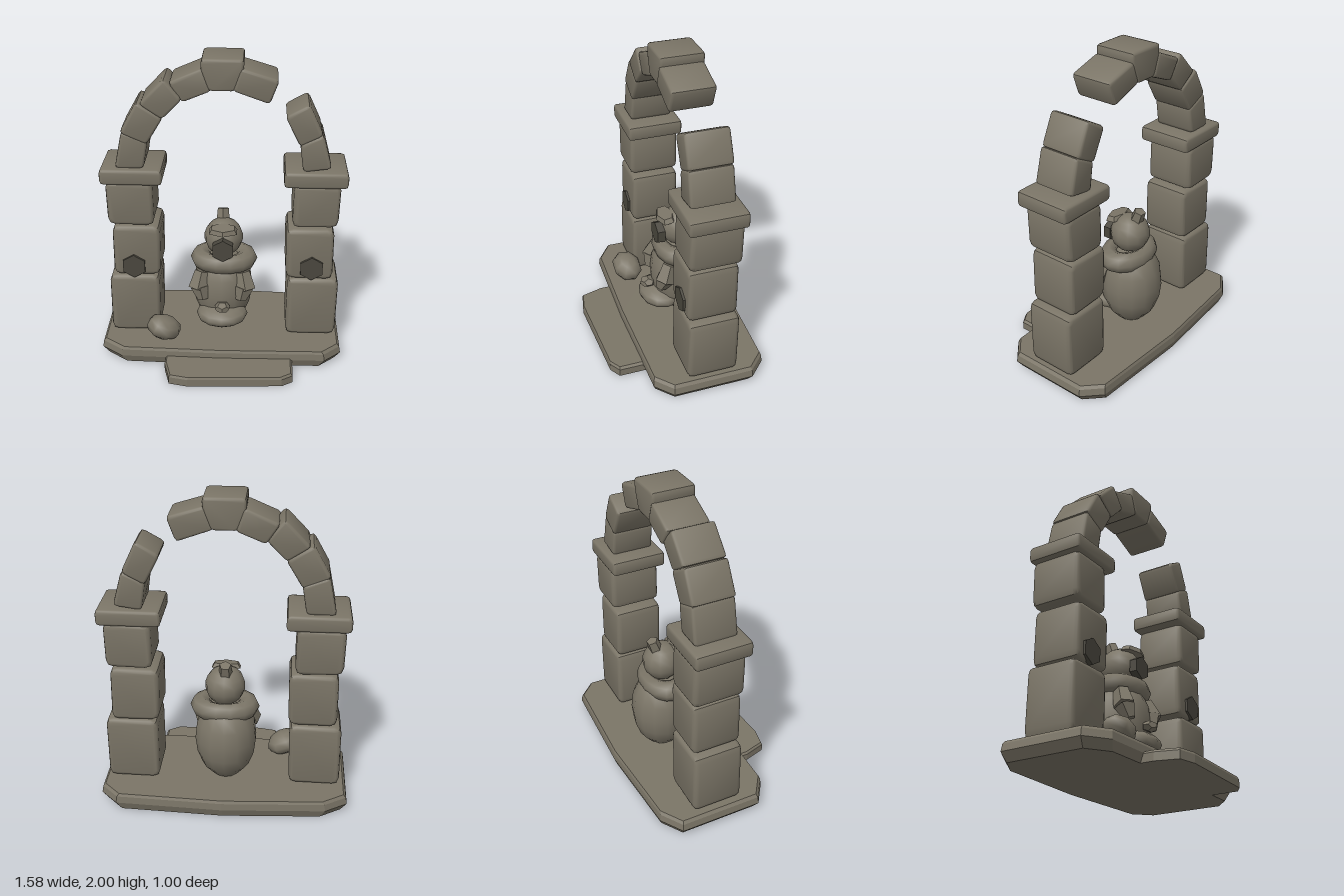
import * as THREE from 'three';
import { toCreasedNormals } from 'three/addons/utils/BufferGeometryUtils.js';

const stone = new THREE.MeshStandardMaterial({ color: 0x7b7567 });
stone.name = 'stone';
const darkStone = new THREE.MeshStandardMaterial({ color: 0x4a473e });
darkStone.name = 'dark stone';

function add(parent, name, geometry, material = stone, position = [0, 0, 0], scale = [1, 1, 1]) {
  const mesh = new THREE.Mesh(geometry, material);
  mesh.name = name;
  mesh.position.set(...position);
  mesh.scale.set(...scale);
  parent.add(mesh);
  return mesh;
}

// Worn block: a front outline with softened corners, bevelled, running from z0 to z1
function block(corners, z0, z1, bevel, round) {
  const points = corners.map(([x, y]) => new THREE.Vector2(x, y));
  const toward = (a, b) => a.clone().add(b.clone().sub(a).setLength(round));
  const shape = new THREE.Shape();
  points.forEach((p, i) => {
    const before = toward(p, points[(i + points.length - 1) % points.length]);
    const after = toward(p, points[(i + 1) % points.length]);
    if (i === 0) shape.moveTo(before.x, before.y);
    else shape.lineTo(before.x, before.y);
    shape.quadraticCurveTo(p.x, p.y, after.x, after.y);
  });
  const geometry = new THREE.ExtrudeGeometry(shape, {
    depth: z1 - z0 - 2 * bevel, bevelEnabled: true, bevelThickness: bevel,
    bevelSize: bevel * 0.8, bevelOffset: -bevel * 0.8, bevelSegments: 2, curveSegments: 2,
  });
  return toCreasedNormals(geometry.translate(0, 0, z0 + bevel), 0.85);
}

// Slab: a ground outline lofted through rings of [y, scale], closed top and bottom
function slab(outline, rings, centreZ) {
  const n = outline.length, points = [], index = [];
  for (const [y, s] of rings) {
    for (const [x, z] of outline) points.push(x * s, y, centreZ + (z - centreZ) * s);
  }
  for (let r = 0; r < rings.length - 1; r++) {
    for (let i = 0; i < n; i++) {
      const a = r * n + i, b = r * n + (i + 1) % n;
      index.push(a, b, a + n, b, b + n, a + n);
    }
  }
  const top = (rings.length - 1) * n;
  for (let i = 1; i < n - 1; i++) {
    index.push(0, i + 1, i, top, top + i, top + i + 1);
  }
  const geometry = new THREE.BufferGeometry();
  geometry.setAttribute('position', new THREE.Float32BufferAttribute(points, 3));
  geometry.setIndex(index);
  return flat(geometry);
}

function flat(geometry) {
  const result = geometry.index ? geometry.toNonIndexed() : geometry;
  result.computeVertexNormals();
  return result;
}

function makeGround(group) {
  const outline = [[-0.79, -0.37], [-0.79, 0.16], [-0.65, 0.26], [0, 0.275], [0.68, 0.26],
    [0.79, 0.16], [0.79, -0.36], [0.68, -0.47], [0, -0.5], [-0.65, -0.46]];
  add(group, 'base', slab(outline, [[0, 0.95], [0.055, 1], [0.1, 0.99], [0.118, 0.97]], -0.11));
  const step = [[-0.36, 0.22], [-0.36, 0.33], [-0.32, 0.47], [-0.2, 0.495], [0.4, 0.465],
    [0.47, 0.42], [0.47, 0.22]];
  add(group, 'frontStep', slab(step, [[0, 1], [0.05, 1], [0.065, 0.97]], 0.3));
  const rock = add(group, 'looseRock', new THREE.SphereGeometry(1, 8, 6), stone,
    [-0.38, 0.195, 0.12], [0.12, 0.078, 0.1]);
  rock.rotation.set(0.1, 0.3, -0.4);
}

function makePillars(group) {
  // Each block: x0, x1, y0, y1, z0, z1, and how far its top leans
  const pillars = {
    right: [[-0.74, -0.413, 0.12, 0.545, -0.265, 0.055, 0.004], [-0.705, -0.4, 0.55, 0.905, -0.26, 0.052, 0.003],
      [-0.725, -0.43, 0.918, 1.22, -0.27, 0.055, -0.006], [-0.76, -0.37, 1.205, 1.305, -0.28, 0.08, 0]],
    left: [[0.425, 0.757, 0.12, 0.545, -0.265, 0.055, 0.003], [0.415, 0.72, 0.55, 0.905, -0.26, 0.052, -0.005],
      [0.445, 0.735, 0.918, 1.22, -0.27, 0.055, 0.006], [0.385, 0.78, 1.205, 1.305, -0.28, 0.08, 0]],
  };
  for (const [side, blocks] of Object.entries(pillars)) {
    const pillar = new THREE.Group();
    pillar.name = side + 'Pillar';
    blocks.forEach(([x0, x1, y0, y1, z0, z1, lean], i) => {
      const corners = [[x0, y0], [x1, y0 + lean], [x1 + lean, y1], [x0 + lean, y1 - Math.abs(lean)]];
      const capital = i === 3;
      add(pillar, capital ? 'capital' : 'pillarBlock',
        block(corners, z0, z1, capital ? 0.018 : 0.028, capital ? 0.026 : 0.045));
    });
    // Hexagonal boss on the pillar front
    const boss = new THREE.CylinderGeometry(0.082, 0.082, 0.03, 6).rotateX(Math.PI / 2);
    add(pillar, 'hexBoss', flat(boss), darkStone, [side === 'left' ? 0.58 : -0.57, side === 'left' ? 0.632 : 0.622, 0.052]);
    group.add(pillar);
  }
}

function makeArch(group) {
  const arch = new THREE.Group();
  arch.name = 'brokenArch';
  const stones = [
    [[-0.665, 1.3], [-0.485, 1.3], [-0.455, 1.485], [-0.615, 1.54]],
    [[-0.625, 1.535], [-0.46, 1.46], [-0.355, 1.635], [-0.515, 1.73]],
    [[-0.5, 1.72], [-0.36, 1.625], [-0.235, 1.755], [-0.345, 1.88]],
    [[-0.32, 1.855], [-0.24, 1.73], [-0.06, 1.805], [-0.11, 1.945]],
    [[-0.08, 1.805], [0.08, 1.805], [0.128, 1.93], [0.132, 2], [-0.125, 2], [-0.125, 1.93]],
    [[0.06, 1.81], [0.285, 1.73], [0.34, 1.88], [0.11, 1.95]],
    [[0.38, 1.65], [0.475, 1.46], [0.615, 1.535], [0.523, 1.73]],
    [[0.475, 1.475], [0.5, 1.295], [0.675, 1.32], [0.615, 1.54]],
  ];
  stones.forEach((corners, i) => {
    const shift = (i % 3 - 1) * 0.004;
    add(arch, i === 4 ? 'keystone' : 'archStone', block(corners, -0.235 + shift, 0.037 + shift, 0.018, 0.025));
  });
  group.add(arch);
}

function makeStatue(group) {
  const statue = new THREE.Group();
  statue.name = 'seatedStatue';
  const profile = [[0, 0.12], [0.09, 0.125], [0.155, 0.2], [0.188, 0.29], [0.2, 0.39], [0.188, 0.5],
    [0.15, 0.58], [0.1, 0.63], [0, 0.65]].map(([r, y]) => new THREE.Vector2(r, y));
  add(statue, 'body', new THREE.LatheGeometry(profile, 14), stone, [0, 0, -0.14]);
  add(statue, 'collar', new THREE.TorusGeometry(0.152, 0.07, 8, 14).rotateX(Math.PI / 2), stone,
    [0.008, 0.605, -0.12], [1, 0.95, 0.74]);
  add(statue, 'head', new THREE.SphereGeometry(0.128, 12, 9), stone, [0.005, 0.757, -0.13]);
  add(statue, 'lap', new THREE.SphereGeometry(1, 12, 8), stone, [0, 0.238, -0.01], [0.172, 0.075, 0.15]);
  // Small offering on the lap
  add(statue, 'offering', new THREE.DodecahedronGeometry(0.052), stone, [0.005, 0.338, 0.085], [1, 0.65, 1]);
  // Face plate, brow and crest
  add(statue, 'facePlate', flat(new THREE.CylinderGeometry(0.076, 0.076, 0.05, 6).rotateX(Math.PI / 2)),
    darkStone, [0.005, 0.728, 0.008]);
  const brow = add(statue, 'brow', flat(new THREE.CylinderGeometry(0.085, 0.105, 0.03, 6)), stone,
    [0.005, 0.852, -0.035], [1, 1, 0.6]);
  brow.rotation.x = 0.15;
  const crest = add(statue, 'crest', flat(new THREE.CylinderGeometry(0.038, 0.046, 0.09, 5)), stone, [0, 0.886, -0.185]);
  crest.rotation.x = -0.35;
  // Angular arms folded toward the lap
  for (const side of [-1, 1]) {
    const arm = add(statue, side > 0 ? 'leftArm' : 'rightArm', flat(new THREE.CylinderGeometry(0.05, 0.068, 0.12, 5)),
      stone, [side * 0.145, 0.49, -0.01]);
    arm.rotation.set(-0.35, 0, side * 0.2);
    const hand = add(statue, 'forearm', flat(new THREE.CylinderGeometry(0.068, 0.035, 0.09, 5)), stone,
      [side * 0.133, 0.405, 0.015]);
    hand.rotation.set(-0.3, 0, side * -0.2);
  }
  group.add(statue);
}

export function createModel() {
  const group = new THREE.Group();
  group.name = 'stoneShrine';
  makeGround(group);
  makePillars(group);
  makeArch(group);
  makeStatue(group);
  return group;
}
